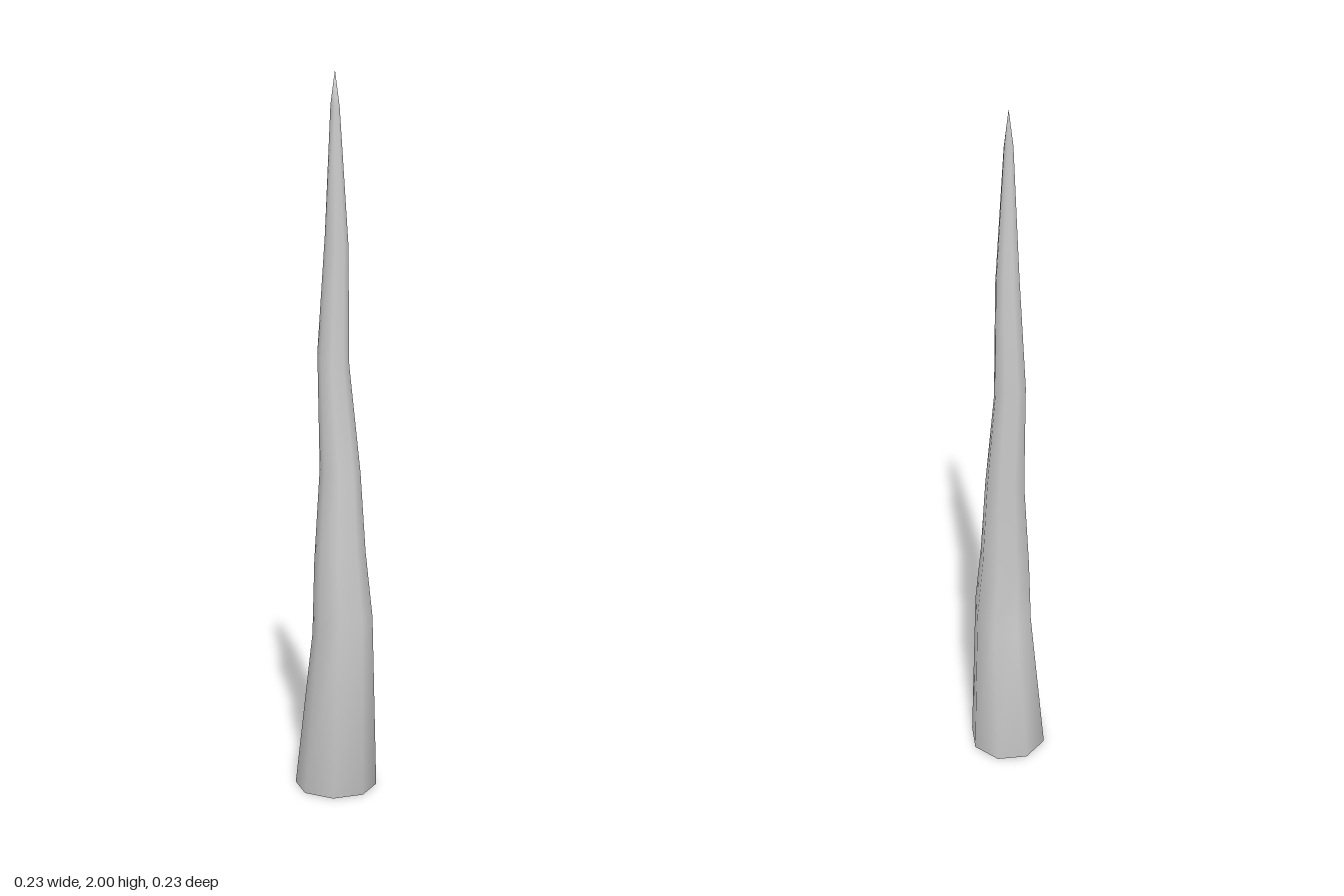
import * as THREE from 'three';

const SIDES = 8;

// Cross-sections of the spike: left x, left y, right x, right y, half depth
const RINGS = [
  [-0.116, 0, 0.116, 0, 0.116],
  [-0.054, 0.44, 0.11, 0.51, 0.087],
  [-0.054, 0.65, 0.088, 0.69, 0.073],
  [-0.039, 0.92, 0.074, 0.91, 0.057],
  [-0.054, 1.25, 0.032, 1.2, 0.045],
  [-0.028, 1.57, 0.034, 1.53, 0.033],
  [-0.016, 1.91, 0.009, 1.9, 0.0125],
];
const TIP = [-0.004, 2, 0];

export function createModel() {
  const group = new THREE.Group();
  const positions = [];
  const index = [];

  // Tilted eight-sided rings that follow the bends
  for (const [lx, ly, rx, ry, depth] of RINGS) {
    for (let i = 0; i < SIDES; i++) {
      const a = (i / SIDES) * Math.PI * 2;
      const t = (1 + Math.cos(a)) / 2;
      positions.push(lx + (rx - lx) * t, ly + (ry - ly) * t, Math.sin(a) * depth);
    }
  }
  const tip = positions.length / 3;
  const base = tip + 1;
  positions.push(...TIP, 0, 0, 0);

  // Side walls, pointed end and closed base
  const last = (RINGS.length - 1) * SIDES;
  for (let i = 0; i < SIDES; i++) {
    const j = (i + 1) % SIDES;
    for (let r = 0; r < last; r += SIDES) {
      const a = r + i, b = r + j, c = a + SIDES, d = b + SIDES;
      index.push(a, c, b, b, c, d);
    }
    index.push(last + i, tip, last + j);
    index.push(base, i, j);
  }

  const geometry = new THREE.BufferGeometry();
  geometry.setAttribute('position', new THREE.Float32BufferAttribute(positions, 3));
  geometry.setIndex(index);
  geometry.computeVertexNormals();

  const spike = new THREE.Mesh(geometry, new THREE.MeshStandardMaterial({ color: 0xcccccc }));
  spike.name = 'spike';
  group.add(spike);
  return group;
}
